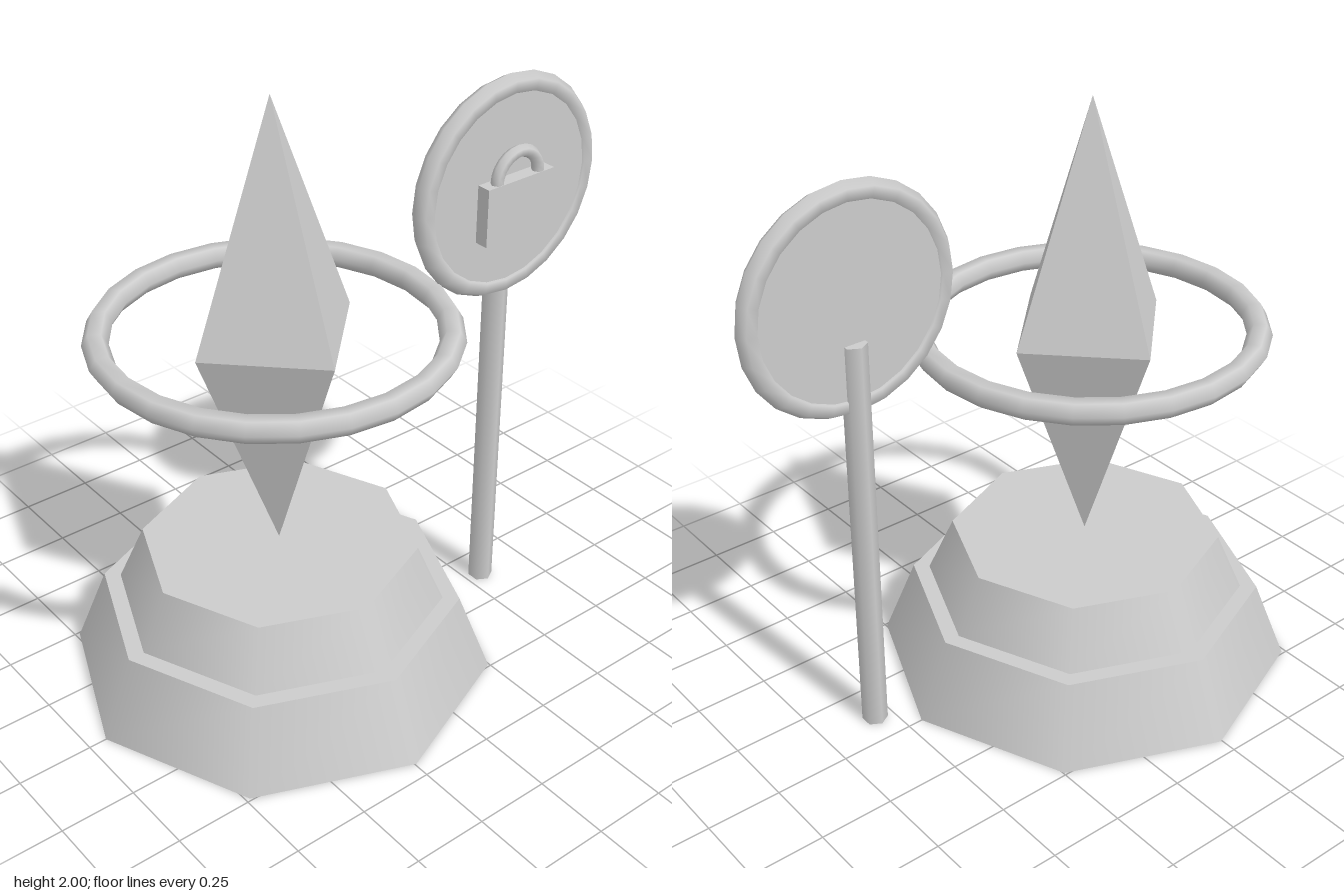
import * as THREE from 'three';

export function createModel() {
  const model = new THREE.Group();
  const grey = new THREE.MeshStandardMaterial({ color: 0xcccccc });
  grey.name = 'light grey';
  const flatGrey = grey.clone();
  flatGrey.name = 'light grey faceted';
  flatGrey.flatShading = true;

  const add = (parent, name, geometry, x, y, z, material = grey) => {
    const mesh = new THREE.Mesh(geometry, material);
    mesh.name = name;
    mesh.position.set(x, y, z);
    parent.add(mesh);
    return mesh;
  };
  const group = (name, x, z) => {
    const g = new THREE.Group();
    g.name = name;
    g.position.set(x, 0, z);
    model.add(g);
    return g;
  };

  // Shrine: two tapered octagonal steps, floating crystal and its halo
  const shrine = group('crystalShrine', -0.245, 0);
  add(shrine, 'lowerStep', new THREE.CylinderGeometry(0.59, 0.695, 0.27, 8), 0, 0.135, 0);
  add(shrine, 'upperStep', new THREE.CylinderGeometry(0.45, 0.535, 0.195, 8), 0, 0.3675, 0);
  const crystal = add(shrine, 'crystal', new THREE.OctahedronGeometry(1), 0, 1.2375, 0, flatGrey);
  crystal.scale.set(0.29, 0.7625, 0.29);
  const halo = new THREE.TorusGeometry(0.537, 0.041, 6, 24).rotateX(Math.PI / 2);
  add(shrine, 'haloRing', halo, 0, 1.2375, 0);

  // Sign: hexagonal post behind a rimmed disc
  const sign = group('lockSign', 0.56, 0);
  add(sign, 'post', new THREE.CylinderGeometry(0.042, 0.042, 1.4, 6), 0, 0.7, 0.11);
  const disc = new THREE.CylinderGeometry(0.35, 0.35, 0.05, 24).rotateX(Math.PI / 2);
  add(sign, 'disc', disc, 0, 1.53, 0.129);
  add(sign, 'discRim', new THREE.TorusGeometry(0.336, 0.036, 6, 24), 0, 1.53, 0.129);

  // Padlock emblem on the front of the disc
  add(sign, 'padlockBody', new THREE.BoxGeometry(0.275, 0.195, 0.05), 0, 1.4825, 0.177);
  add(sign, 'padlockShackle', new THREE.TorusGeometry(0.086, 0.021, 6, 12, Math.PI), 0, 1.58, 0.182);

  return model;
}
